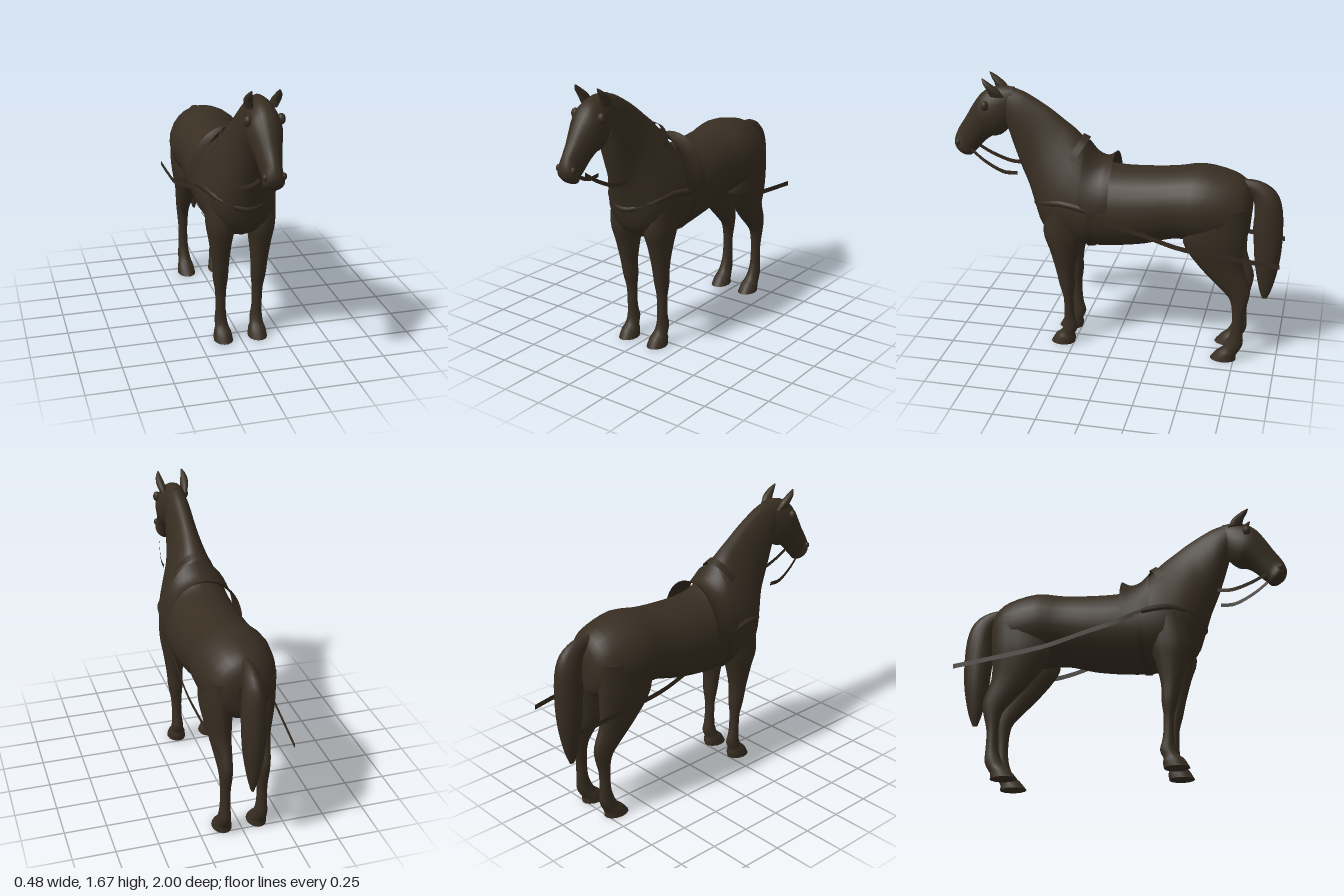
import * as THREE from 'three';

const coat = new THREE.MeshStandardMaterial({ color: 0x382e22 });
coat.name = 'dark brown coat';
const leather = new THREE.MeshStandardMaterial({ color: 0x352b20, side: THREE.DoubleSide });
leather.name = 'dark leather';

// Catmull-Rom blend of station parameters
function refine(stations, steps) {
  const out = [], n = stations.length;
  for (let i = 0; i < n - 1; i++) {
    const [a, b, c, d] = [-1, 0, 1, 2].map(k => stations[Math.min(n - 1, Math.max(0, i + k))]);
    for (let s = 0; s < steps; s++) {
      const t = s / steps;
      out.push(b.map((v, k) => v + 0.5 * t * (c[k] - a[k] + t * (2 * a[k] - 5 * v + 4 * c[k] - d[k]
        + t * (3 * (v - c[k]) + d[k] - a[k])))));
    }
  }
  out.push(stations[n - 1]);
  return out;
}

// Loft of oval rings; station = [z1, y1, z2, y2, halfWidth, centreX, taper]
function loft(name, stations, { sides = 20, steps = 3, from = 0, to = Math.PI * 2, material = coat } = {}) {
  const rings = refine(stations.map(s => [...s, 0, 0].slice(0, 7)), steps);
  const closed = to - from > 6.28, cols = closed ? sides : sides + 1;
  const pos = [], index = [];
  const addRing = ([z1, y1, z2, y2, w, x, taper]) => {
    for (let j = 0; j < cols; j++) {
      const a = from + (to - from) * j / sides, s = Math.sin(a), c = Math.cos(a);
      pos.push(x + w * c * (1 - taper * s), (y1 + y2) / 2 + (y1 - y2) / 2 * s, (z1 + z2) / 2 + (z1 - z2) / 2 * s);
    }
  };
  rings.forEach(addRing);
  for (let i = 0; i < rings.length - 1; i++) {
    for (let j = 0; j < sides; j++) {
      const a = i * cols + j, b = i * cols + (j + 1) % cols;
      index.push(a, b, a + cols, b, b + cols, a + cols);
    }
  }
  if (closed) {
    [rings[0], rings[rings.length - 1]].forEach((r, end) => {
      const base = pos.length / 3;
      addRing(r);
      pos.push(r[5], (r[1] + r[3]) / 2, (r[0] + r[2]) / 2);
      for (let j = 0; j < sides; j++) {
        const a = base + j, b = base + (j + 1) % sides;
        index.push(base + sides, end ? a : b, end ? b : a);
      }
    });
  }
  const g = new THREE.BufferGeometry();
  g.setAttribute('position', new THREE.Float32BufferAttribute(pos, 3));
  g.setIndex(index);
  g.computeVertexNormals();
  const mesh = new THREE.Mesh(g, material);
  mesh.name = name;
  return mesh;
}

// Flat upright strap following a curve
function strap(name, points, height, samples = 24) {
  const curve = new THREE.CatmullRomCurve3(points.map(p => new THREE.Vector3(...p)));
  const g = new THREE.PlaneGeometry(1, 1, samples, 1), p = g.attributes.position;
  for (let i = 0; i <= samples; i++) {
    const c = curve.getPoint(i / samples);
    p.setXYZ(i, c.x, c.y + height / 2, c.z);
    p.setXYZ(i + samples + 1, c.x, c.y - height / 2, c.z);
  }
  g.computeVertexNormals();
  const mesh = new THREE.Mesh(g, leather);
  mesh.name = name;
  return mesh;
}

export function createModel() {
  const horse = new THREE.Group();
  horse.name = 'horse';

  // Torso and neck, rump to poll
  horse.add(loft('torsoAndNeck', [
    [-0.815, 1.02, -0.805, 0.88, 0.06],
    [-0.785, 1.11, -0.79, 0.79, 0.14],
    [-0.70, 1.17, -0.70, 0.74, 0.2],
    [-0.52, 1.205, -0.52, 0.74, 0.233],
    [-0.36, 1.18, -0.36, 0.74, 0.215],
    [-0.18, 1.165, -0.18, 0.69, 0.222],
    [0, 1.165, 0.02, 0.66, 0.225],
    [0.1, 1.20, 0.18, 0.655, 0.222, 0, 0.1],
    [0.18, 1.30, 0.32, 0.675, 0.208, 0, 0.25],
    [0.25, 1.375, 0.44, 0.75, 0.178, 0, 0.35],
    [0.32, 1.43, 0.495, 0.89, 0.14, 0, 0.35],
    [0.40, 1.49, 0.535, 1.01, 0.108, 0, 0.25],
    [0.49, 1.545, 0.58, 1.12, 0.092, 0, 0.15],
    [0.57, 1.585, 0.62, 1.24, 0.083, 0, 0.1],
    [0.66, 1.61, 0.65, 1.34, 0.07]], { sides: 24 }));

  // Head, poll to muzzle
  horse.add(loft('head', [
    [0.62, 1.605, 0.62, 1.42, 0.055],
    [0.70, 1.61, 0.655, 1.355, 0.08],
    [0.78, 1.585, 0.71, 1.305, 0.095],
    [0.835, 1.54, 0.76, 1.295, 0.093, 0, -0.05],
    [0.885, 1.47, 0.81, 1.26, 0.076],
    [0.93, 1.395, 0.85, 1.215, 0.062],
    [0.97, 1.335, 0.88, 1.185, 0.054],
    [0.993, 1.285, 0.90, 1.165, 0.06],
    [1.0, 1.245, 0.925, 1.165, 0.052],
    [0.99, 1.21, 0.95, 1.175, 0.025]]));

  // Tail, root to tip
  horse.add(loft('tail', [
    [-0.76, 1.07, -0.74, 1.14, 0.028],
    [-0.81, 1.03, -0.85, 1.13, 0.04],
    [-0.825, 0.94, -0.945, 1.07, 0.058],
    [-0.82, 0.85, -0.99, 0.95, 0.068],
    [-0.83, 0.72, -0.998, 0.75, 0.066],
    [-0.842, 0.6, -0.985, 0.6, 0.055],
    [-0.87, 0.46, -0.955, 0.46, 0.03],
    [-0.895, 0.38, -0.925, 0.38, 0.008]], { sides: 14 }));

  for (const side of [1, -1]) {
    const label = side > 0 ? 'left' : 'right';

    // Front leg, shoulder to hoof
    horse.add(loft(label + 'FrontLeg', [
      [0.40, 0.95, 0.16, 0.92, 0.085, 0.125],
      [0.425, 0.76, 0.18, 0.74, 0.085, 0.12],
      [0.39, 0.64, 0.21, 0.64, 0.068, 0.12],
      [0.355, 0.51, 0.238, 0.51, 0.052, 0.118],
      [0.332, 0.40, 0.24, 0.40, 0.046, 0.116],
      [0.31, 0.31, 0.25, 0.31, 0.034, 0.113],
      [0.308, 0.2, 0.243, 0.19, 0.031, 0.112],
      [0.312, 0.135, 0.225, 0.115, 0.036, 0.11],
      [0.33, 0.085, 0.245, 0.065, 0.042, 0.108],
      [0.365, 0.055, 0.24, 0.04, 0.052, 0.107],
      [0.395, 0.005, 0.245, 0.005, 0.058, 0.106]].map(s => (s[5] *= side, s)), { sides: 14 }));

    // Hind leg, hip to hoof
    horse.add(loft(label + 'HindLeg', [
      [-0.45, 0.98, -0.79, 1.0, 0.085, 0.125],
      [-0.42, 0.80, -0.79, 0.84, 0.085, 0.125],
      [-0.455, 0.70, -0.785, 0.74, 0.078, 0.12],
      [-0.56, 0.57, -0.785, 0.62, 0.058, 0.115],
      [-0.665, 0.465, -0.83, 0.49, 0.043, 0.112],
      [-0.715, 0.40, -0.825, 0.41, 0.037, 0.11],
      [-0.73, 0.30, -0.80, 0.30, 0.03, 0.11],
      [-0.727, 0.2, -0.80, 0.18, 0.031, 0.11],
      [-0.71, 0.135, -0.802, 0.11, 0.037, 0.11],
      [-0.685, 0.085, -0.78, 0.06, 0.043, 0.108],
      [-0.645, 0.05, -0.765, 0.035, 0.052, 0.107],
      [-0.605, 0, -0.765, 0, 0.058, 0.106]].map(s => (s[5] *= side, s)), { sides: 14 }));

    // Ear
    horse.add(loft(label + 'Ear', [
      [0.66, 1.555, 0.75, 1.56, 0.02, side * 0.066],
      [0.69, 1.60, 0.76, 1.60, 0.026, side * 0.076],
      [0.74, 1.64, 0.78, 1.635, 0.018, side * 0.08],
      [0.783, 1.667, 0.79, 1.665, 0.004, side * 0.076]], { sides: 10 }));

    // Eye and nostril
    for (const [part, r, x, y, z] of [['Eye', 0.024, 0.09, 1.505, 0.775], ['Nostril', 0.016, 0.05, 1.255, 0.965]]) {
      const ball = new THREE.Mesh(new THREE.SphereGeometry(r, 12, 8), coat);
      ball.name = label + part;
      ball.position.set(side * x, y, z);
      ball.scale.y = 1.3;
      horse.add(ball);
    }

    // Trace along the flank and rein from the mouth
    horse.add(strap(label + 'Trace', [
      [side * 0.222, 0.95, 0.14], [side * 0.238, 0.885, 0], [side * 0.236, 0.83, -0.2],
      [side * 0.236, 0.765, -0.42], [side * 0.222, 0.725, -0.7], [side * 0.205, 0.69, -1]], 0.03));
    horse.add(strap(label + 'Rein', [
      [side * 0.056, 1.215, 0.88], [side * 0.075, 1.155, 0.79],
      [side * 0.095, 1.105, 0.67], [side * 0.1, 1.105, 0.585]], 0.024));
  }

  // Breast collar across the chest
  const half = [[0.218, 0.95, 0.14], [0.2, 0.97, 0.29], [0.145, 0.945, 0.42]];
  const collarPath = [...half, [0, 0.9, 0.49], ...half.map(([x, y, z]) => [-x, y, z]).reverse()];
  const collar = new THREE.Mesh(new THREE.TubeGeometry(
    new THREE.CatmullRomCurve3(collarPath.map(p => new THREE.Vector3(...p))), 40, 0.02, 8), leather);
  collar.name = 'breastCollar';
  horse.add(collar);

  // Saddle pad, withers strap and girth
  horse.add(loft('saddlePad', [
    [0.005, 1.245, 0.015, 0.66, 0.236, 0, 0.02],
    [0.06, 1.215, 0.07, 0.66, 0.238, 0, 0.04],
    [0.12, 1.24, 0.16, 0.66, 0.236, 0, 0.1],
    [0.17, 1.305, 0.21, 0.66, 0.228, 0, 0.18]], { from: 0, to: Math.PI, material: leather }));
  horse.add(loft('withersStrap', [
    [0.16, 1.325, 0.36, 1.0, 0.135, 0, 0.1],
    [0.20, 1.345, 0.40, 1.0, 0.13, 0, 0.1]], { from: 0.1, to: Math.PI - 0.1, material: leather }));
  horse.add(loft('girth', [
    [0.07, 1.19, 0.12, 0.65, 0.229, 0, 0.06],
    [0.11, 1.215, 0.16, 0.648, 0.229, 0, 0.09]], { sides: 24, from: Math.PI, to: Math.PI * 2, material: leather }));

  return horse;
}
